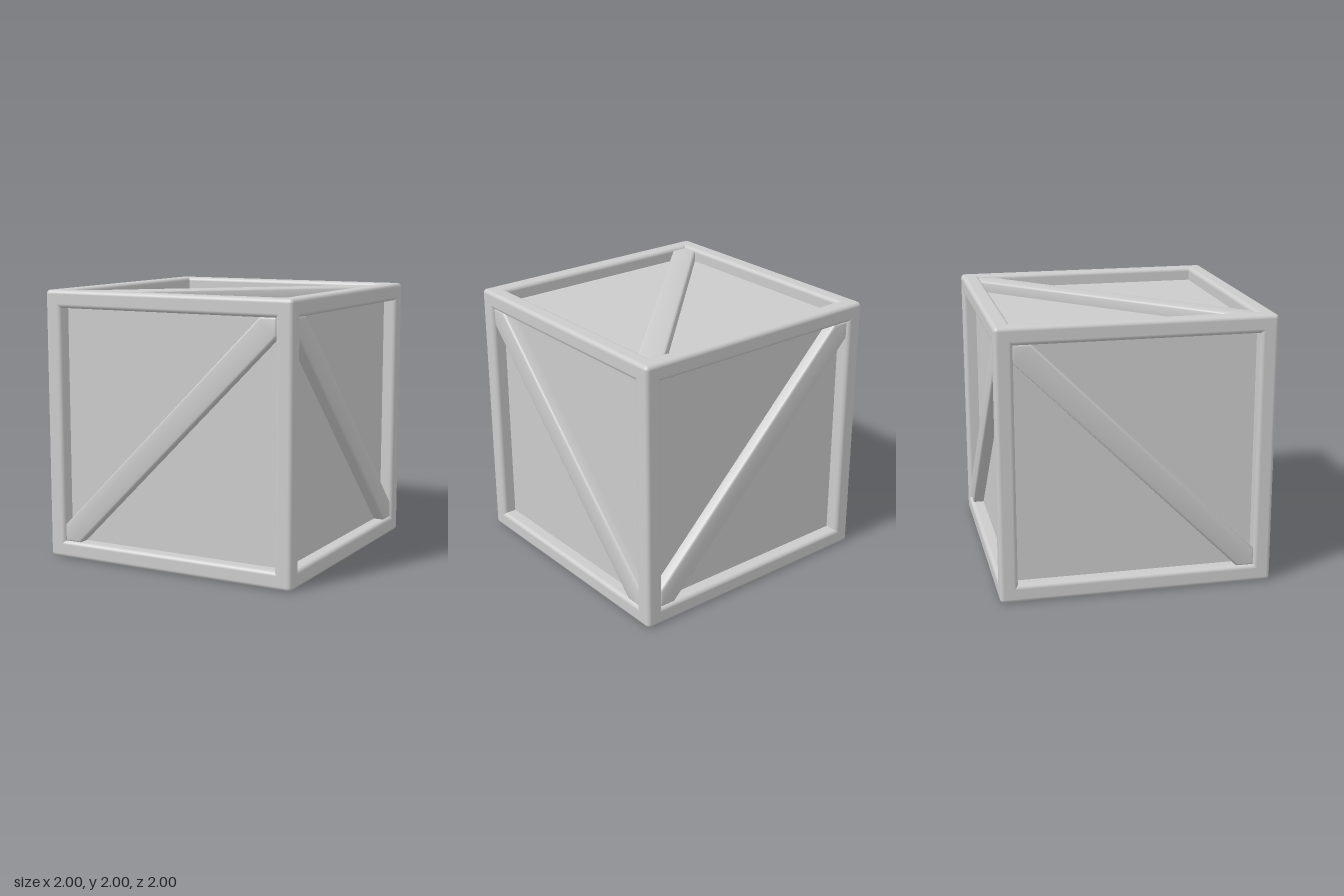
import * as THREE from 'three';
import { RoundedBoxGeometry } from 'three/addons/geometries/RoundedBoxGeometry.js';
import { toCreasedNormals } from 'three/addons/utils/BufferGeometryUtils.js';

const BEAM = 0.13;            // frame beam thickness
const INNER = 1 - BEAM;       // half width of each recessed panel
const PANEL = 0.9;            // distance of the panels from the centre

export function createModel() {
  const model = new THREE.Group();
  model.name = 'crate';
  const crate = new THREE.Group();
  crate.name = 'crateBody';
  crate.position.y = 1;
  model.add(crate);
  const material = new THREE.MeshStandardMaterial({ color: 0xcccccc });

  const add = (name, geometry, parent = crate) => {
    const mesh = new THREE.Mesh(geometry, material);
    mesh.name = name;
    parent.add(mesh);
    return mesh;
  };

  // Recessed panels: one inner box
  add('panels', new THREE.BoxGeometry(2 * PANEL, 2 * PANEL, 2 * PANEL));

  // Frame: four soft-edged beams along each axis
  const c = 1 - BEAM / 2;
  ['x', 'y', 'z'].forEach((axis, i, axes) => {
    const size = [BEAM, BEAM, BEAM];
    size[i] = 2;
    const geometry = new RoundedBoxGeometry(...size, 4, 0.03);
    for (const a of [-c, c]) for (const b of [-c, c]) {
      const beam = add('frameBeam', geometry);
      beam.position[axes[(i + 1) % 3]] = a;
      beam.position[axes[(i + 2) % 3]] = b;
    }
  });

  // Diagonal brace: plank trimmed to fit the corners of the frame opening
  const e = INNER + 0.005, n = INNER - 0.123;
  const outline = new THREE.Shape(
    [[-e, -e], [-n, -e], [e, n], [e, e], [n, e], [-e, -n]].map(p => new THREE.Vector2(...p)));
  const bevel = 0.018;
  const plank = new THREE.ExtrudeGeometry(outline, {
    depth: 0.09, bevelEnabled: true, bevelSize: bevel, bevelOffset: -bevel,
    bevelThickness: bevel, bevelSegments: 3,
  });
  plank.translate(0, 0, 0.877);
  const braceGeometry = toCreasedNormals(plank, 0.7);

  // Braces on every face but the bottom: [name, rotation x, rotation y, turn in plane]
  const q = Math.PI / 2;
  const faces = [
    ['frontBrace', 0, 0, 0],
    ['backBrace', 0, 2 * q, 0],
    ['leftBrace', 0, q, q],
    ['rightBrace', 0, -q, q],
    ['topBrace', -q, 0, 0],
  ];
  for (const [name, rx, ry, turn] of faces) {
    add(name, braceGeometry).rotation.set(rx, ry, turn);
  }

  return model;
}
